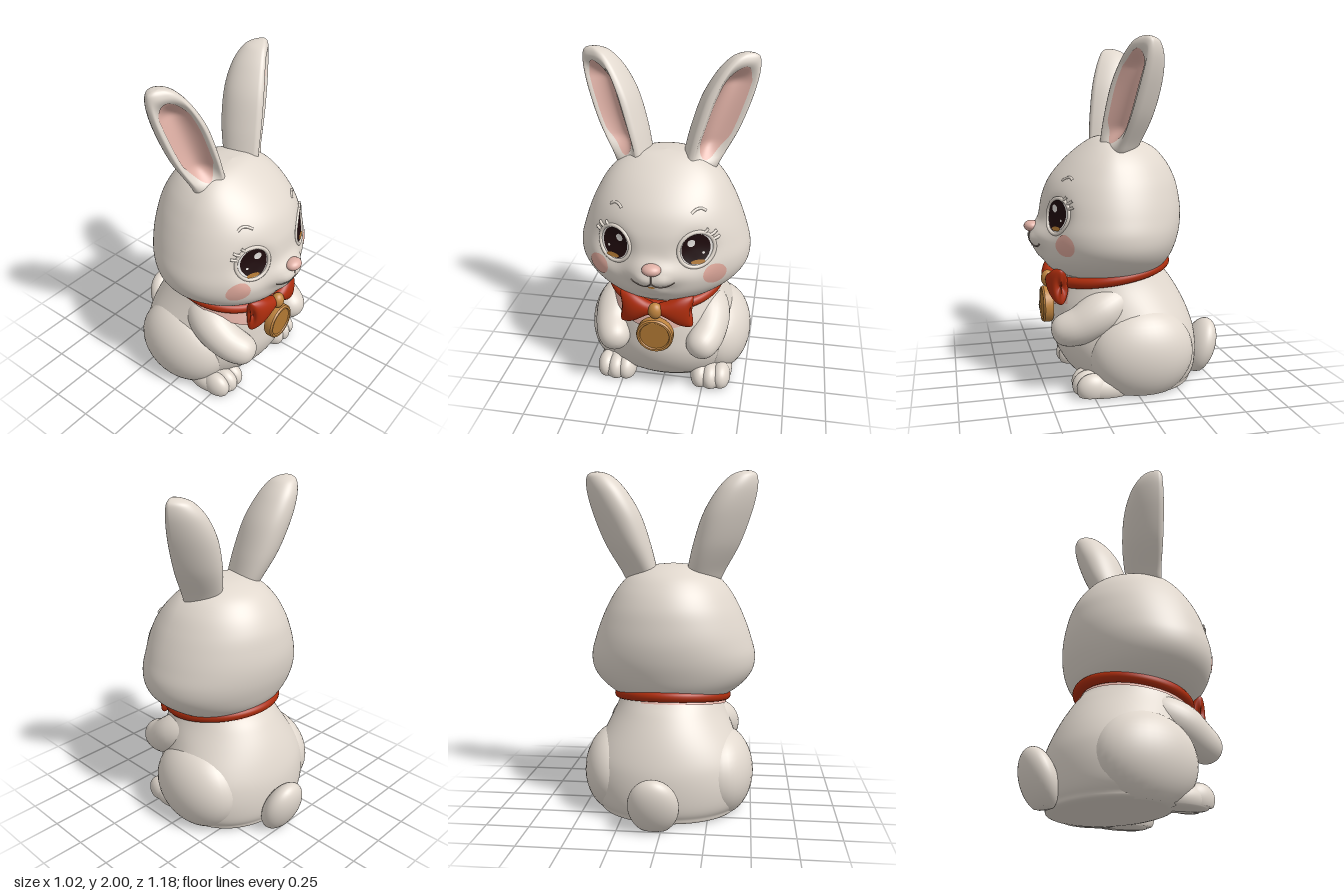
import * as THREE from 'three';
import { toCreasedNormals } from 'three/addons/utils/BufferGeometryUtils.js';

const material = (name, color) => new THREE.MeshStandardMaterial({ name, color });
const { smoothstep } = THREE.MathUtils;

// Smooth curve through rows of numbers, t from 0 to 1
function rowAt(rows, t) {
  const s = Math.min(t, 1) * (rows.length - 1), i = Math.min(Math.floor(s), rows.length - 2), f = s - i;
  const at = k => rows[Math.max(0, Math.min(rows.length - 1, k))];
  const [p, q, r, n] = [at(i - 1), at(i), at(i + 1), at(i + 2)];
  return q.map((v, k) => v + 0.5 * f * (r[k] - p[k] + f * (2 * p[k] - 5 * v + 4 * r[k] - n[k]
    + f * (3 * (v - r[k]) + n[k] - p[k]))));
}

// Skin over a grid of points: fn(t, s) returns [x, y, z]; closed rings wrap in s
function skin(n, m, fn, closed = true) {
  const pos = [], idx = [], cols = closed ? m : m + 1;
  for (let i = 0; i <= n; i++) for (let j = 0; j < cols; j++) pos.push(...fn(i / n, j / m));
  for (let i = 0; i < n; i++) for (let j = 0; j < m; j++) {
    const k = (j + 1) % cols, a = i * cols + j, b = a + cols, c = (i + 1) * cols + k, d = i * cols + k;
    idx.push(a, b, c, a, c, d);
  }
  const g = new THREE.BufferGeometry();
  g.setAttribute('position', new THREE.Float32BufferAttribute(pos, 3));
  g.setIndex(idx);
  g.computeVertexNormals();
  return g;
}

// Egg-like ring from a row of [y, half width, front z, back z]
const eggPoint = ([y, w, zf, zb], zc, a, off = 0) => {
  const sn = Math.sin(a);
  return [(Math.max(0, w) + off) * Math.cos(a), Math.max(0, y), zc + ((sn > 0 ? zf - zc : zc - zb) + off) * sn];
};

// Fine rows along a profile, and the row at a given height
const fineRows = (rows, n) => Array.from({ length: n + 1 }, (_, i) => rowAt(rows, i / n));
function rowForY(fine, y) {
  const i = Math.max(0, fine.findIndex(r => r[0] > y) - 1), f = (y - fine[i][0]) / (fine[i + 1][0] - fine[i][0]);
  return fine[i].map((v, k) => v + f * (fine[i + 1][k] - v));
}

// Ellipsoid, flattened where it meets the ground
function ellipsoid(c, r, rotX = 0, rotY = 0, floor = 0) {
  const g = new THREE.SphereGeometry(1, 36, 24).scale(...r).rotateX(rotX).rotateY(rotY).translate(...c);
  const p = g.attributes.position;
  for (let i = 0; i < p.count; i++) p.setY(i, Math.max(floor, p.getY(i)));
  return g;
}

// Round limb along a path with changing radius
function limb(points, radii) {
  const curve = new THREE.CatmullRomCurve3(points.map(p => new THREE.Vector3(...p)));
  return skin(36, 28, (t0, s) => {
    const t = (1 - Math.cos(Math.PI * t0)) / 2, a = s * Math.PI * 2;
    const r = rowAt(radii.map(v => [v]), t)[0] * Math.sqrt(Math.max(0, 1 - Math.abs(2 * t - 1) ** 6));
    const T = curve.getTangent(t), N = new THREE.Vector3(1, 0, 0).cross(T).normalize();
    const B = N.clone().cross(T);
    return curve.getPoint(t).addScaledVector(N, r * Math.cos(a)).addScaledVector(B, r * Math.sin(a)).toArray();
  });
}

function mirrored(g) {
  const m = g.clone().scale(-1, 1, 1), ix = m.index.array;
  for (let i = 0; i < ix.length; i += 3) [ix[i], ix[i + 1]] = [ix[i + 1], ix[i]];
  return m;
}

// Body and head profiles
const BODY = fineRows([[0, 0, -.08, -.08], [0, .36, .2, -.37], [.04, .42, .27, -.415], [.1, .455, .34, -.435],
  [.2, .47, .4, -.44], [.3, .455, .43, -.43], [.4, .42, .43, -.4], [.5, .375, .42, -.355], [.6, .33, .39, -.295],
  [.68, .3, .37, -.235], [.78, .26, .32, -.18]], 60);
const HEAD = fineRows([[.62, 0, .1, .1], [.64, .22, .32, -.14], [.68, .34, .43, -.22], [.75, .435, .485, -.275],
  [.83, .49, .505, -.31], [.92, .5, .51, -.335], [1.02, .475, .495, -.345], [1.12, .44, .475, -.335],
  [1.22, .395, .43, -.31], [1.32, .335, .345, -.255], [1.4, .255, .25, -.175], [1.45, .15, .17, -.05],
  [1.467, 0, .1, .1]], 80);
const HEAD_Z = .1;
const bodyPoint = (row, a, off) => eggPoint(row, -.08 + .15 * smoothstep(row[0], .3, .66), a, off);

// Soft swellings and hollows of the face: [x, y, x spread, y spread, height]
const BUMPS = [[0, .885, .14, .08, .042], [.048, .866, .048, .036, .014], [-.048, .866, .048, .036, .014],
  [0, .785, .075, .04, .02], [.228, 1.0, .105, .11, -.033], [-.228, 1.0, .105, .11, -.033]];
const bump = (x, y) => BUMPS.reduce((z, [bx, by, rx, ry, h]) =>
  z + h * Math.exp(-((((x - bx) / rx) ** 2 + ((y - by) / ry) ** 2) ** 1.7)), 0);

// Depth of the face surface at x, y
function faceZ(x, y) {
  const [, w, zf] = rowForY(HEAD, y);
  return HEAD_Z + (zf - HEAD_Z) * Math.sqrt(Math.max(0, 1 - (x / w) ** 2)) + bump(x, y);
}

// Thin oval and thin cord lying on the face
const facePatch = (cx, cy, rx, ry, off) => skin(8, 40, (t, s) => {
  const x = cx + rx * t * Math.cos(s * Math.PI * 2), y = cy + ry * t * Math.sin(s * Math.PI * 2);
  return [x, y, faceZ(x, y) + off];
});
const faceCord = (pts, r, off = 0, closed = false) => new THREE.TubeGeometry(new THREE.CatmullRomCurve3(
  pts.map(([x, y]) => new THREE.Vector3(x, y, faceZ(x, y) + off)), closed), 40, r, 8, closed);

// Ear rows: [y, centre x, half width, depth behind the rim]
const EAR = [[1.28, .16, .06, .11], [1.36, .195, .095, .16], [1.43, .222, .106, .185], [1.58, .28, .132, .205],
  [1.75, .338, .138, .2], [1.88, .388, .118, .165], [1.96, .421, .084, .112], [1.99, .435, .046, .06], [2, .44, 0, 0]];
const earPoint = (row, c, n) => {
  const u = row[2] * c;
  return [row[1] + .87 * u + .5 * n, row[0], .12 - .55 * (row[1] - .18) - .5 * u + .87 * n];
};
const earFront = (row, c) => {
  const fade = smoothstep(row[0], 1.38, 1.52) * (1 - smoothstep(row[0], 1.83, 1.96));
  return .36 * row[2] * Math.sqrt(Math.max(0, 1 - c ** 4)) - .085 * fade * Math.max(0, 1 - (c / .8) ** 2);
};

export function createModel() {
  const model = new THREE.Group();
  model.name = 'rabbit';
  const upper = new THREE.Group();
  upper.name = 'headAndCollar';
  upper.position.x = -.012;
  model.add(upper);

  const fur = material('fur', 0xe1d8ce), pink = material('softPink', 0xdfb0a5), blush = material('blush', 0xdfa99c);
  const red = material('ribbonRed', 0xae2d0d), gold = material('gold', 0xc08540), darkGold = material('darkGold', 0xb17833);
  const dark = material('eyeDark', 0x1f0b0d), white = material('eyeWhite', 0xeeeae6), line = material('mouthLine', 0x85756c);

  const add = (parent, name, geo, mat) => {
    const mesh = new THREE.Mesh(geo, mat);
    mesh.name = name;
    parent.add(mesh);
  };
  const pair = (parent, name, geo, mat) => {
    add(parent, name + 'Left', geo, mat);
    add(parent, name + 'Right', mirrored(geo), mat);
  };

  // Body, legs and tail
  add(model, 'body', skin(60, 72, (t, s) => bodyPoint(BODY[Math.round(t * 60)], s * Math.PI * 2, 0)), fur);
  pair(model, 'thigh', ellipsoid([.307, .225, -.04], [.204, .268, .305], 0, 0, .003), fur);
  pair(model, 'foot', ellipsoid([.293, .045, .165], [.127, .098, .19], 0, .06, .006), fur);
  for (const [x, z] of [[.232, .265], [.295, .272], [.358, .258]])
    pair(model, 'toe', ellipsoid([x, .055, z], [.06, .084, .092], 0, 0, .009 + (x - .3) * .02), fur);
  add(model, 'tail', ellipsoid([.042, .145, -.49], [.145, .178, .088], -.35), fur);

  // Arms
  pair(upper, 'arm', limb([[.2, .55, .0], [.278, .47, .18], [.28, .395, .32], [.232, .355, .465]], [.12, .127, .108, .095]), fur);

  // Soft tint on the coat below the collar, lowest on the chest
  add(upper, 'chestTint', skin(10, 72, (t, s) => {
    const a = s * Math.PI * 2, sn = Math.sin(a), low = .618 - .05 * sn - .095 * Math.max(0, sn) ** 2;
    const y = low + t * (.665 - .05 * sn - low);
    return bodyPoint(rowForY(BODY, y), a, .006);
  }), pink);

  // Head with its soft muzzle, nose and mouth
  add(upper, 'head', skin(80, 128, (t, s) => {
    const [x, y, z] = eggPoint(HEAD[Math.round(t * 80)], HEAD_Z, s * Math.PI * 2);
    return [x, y, s < .5 ? z + bump(x, y) : z];
  }), fur);
  add(upper, 'nose', ellipsoid([0, .938, .545], [.054, .033, .044]), pink);
  add(upper, 'noseLine', faceCord([[0, .91], [0, .885], [0, .858]], .004), line);
  pair(upper, 'smile', faceCord([[0, .858], [.025, .835], [.06, .826], [.095, .834], [.122, .852]], .0045), line);
  add(upper, 'lip', facePatch(0, .826, .02, .007, .004), gold);

  // Ears with hollow fronts
  pair(upper, 'ear', skin(64, 72, (t, s) => {
    const row = rowAt(EAR, t), c = Math.cos(s * Math.PI * 2), sn = Math.sin(s * Math.PI * 2);
    return earPoint(row, c, sn < 0 ? row[3] * sn : earFront(row, c));
  }), fur);
  pair(upper, 'innerEar', skin(40, 24, (t, s) => {
    const row = rowAt(EAR, .24 + .46 * t);
    const c = (1 - 2 * s) * .66 * Math.min(1, 1.2 * Math.sqrt(Math.max(0, Math.sin(Math.PI * t))));
    return earPoint(row, c, earFront(row, c) + .006);
  }, false), pink);

  // Eyes, lids, lashes, brows and cheeks
  pair(upper, 'eyeWhite', facePatch(.228, 1.022, .09, .093, .004), white);
  pair(upper, 'iris', facePatch(.225, 1.026, .075, .088, .008), dark);
  pair(upper, 'irisGlow', facePatch(.24, .952, .038, .012, .011), darkGold);
  pair(upper, 'eyeGlint', facePatch(.2, 1.062, .02, .022, .012), white);
  pair(upper, 'eyeSpark', facePatch(.265, 1.0, .007, .007, .012), white);
  const ring = Array.from({ length: 16 }, (_, i) => i * Math.PI / 8).map(a => [.228 + .094 * Math.cos(a), 1.022 + .1 * Math.sin(a)]);
  pair(upper, 'eyelid', faceCord(ring, .011, .002, true), fur);
  for (const [x, y, dx, dy] of [[.265, 1.115, .02, .02], [.292, 1.095, .035, .022], [.31, 1.07, .035, .014]])
    pair(upper, 'lash', faceCord([[x, y], [x + dx * .6, y + dy * .4], [x + dx, y + dy]], .008, .006), fur);
  pair(upper, 'brow', faceCord([[.192, 1.218], [.215, 1.234], [.24, 1.236], [.265, 1.222]], .008), fur);
  pair(upper, 'cheek', facePatch(.33, .87, .06, .062, .004), blush);

  // Tilted collar
  const loop = Array.from({ length: 24 }, (_, i) => i * Math.PI / 12).map(a =>
    new THREE.Vector3(.325 * Math.cos(a), .665 - .05 * Math.sin(a), .07 + .325 * Math.sin(a)));
  add(upper, 'collar', new THREE.TubeGeometry(new THREE.CatmullRomCurve3(loop, true), 96, .032, 14, true), red);

  // Bow with two-lobed wings: rows of [x, centre y, half height, half depth, centre z]
  const wing = [[.01, .62, 0, 0, .435], [.015, .62, .03, .03, .435], [.06, .618, .05, .045, .43], [.13, .61, .09, .054, .42],
    [.185, .606, .103, .05, .41], [.213, .606, .09, .032, .405], [.205, .606, 0, 0, .405]];
  pair(upper, 'bowWing', skin(36, 40, (t, s) => {
    const [x, y, h, d, z] = rowAt(wing, t), a = s * Math.PI * 2;
    return [x - .025 * t * t * Math.sin(a) ** 2, y + h * Math.cos(a), z - d * Math.sin(a)];
  }), red);
  add(upper, 'bowKnot', ellipsoid([0, .618, .455], [.042, .05, .038]), gold);

  // Medal with a raised rim
  const rim = [[0, -.03], [.1, -.03], [.108, -.018], [.108, .02], [.101, .03], [.09, .03], [.085, .022], [0, .022]];
  const medal = new THREE.Group();
  medal.name = 'medal';
  medal.position.set(0, .462, .462);
  upper.add(medal);
  add(medal, 'medalRim', toCreasedNormals(new THREE.LatheGeometry(rim.map(p => new THREE.Vector2(...p)), 48)
    .rotateX(Math.PI / 2), .6), gold);
  add(medal, 'medalFace', new THREE.CircleGeometry(.084, 48).translate(0, 0, .024), darkGold);
  return model;
}
